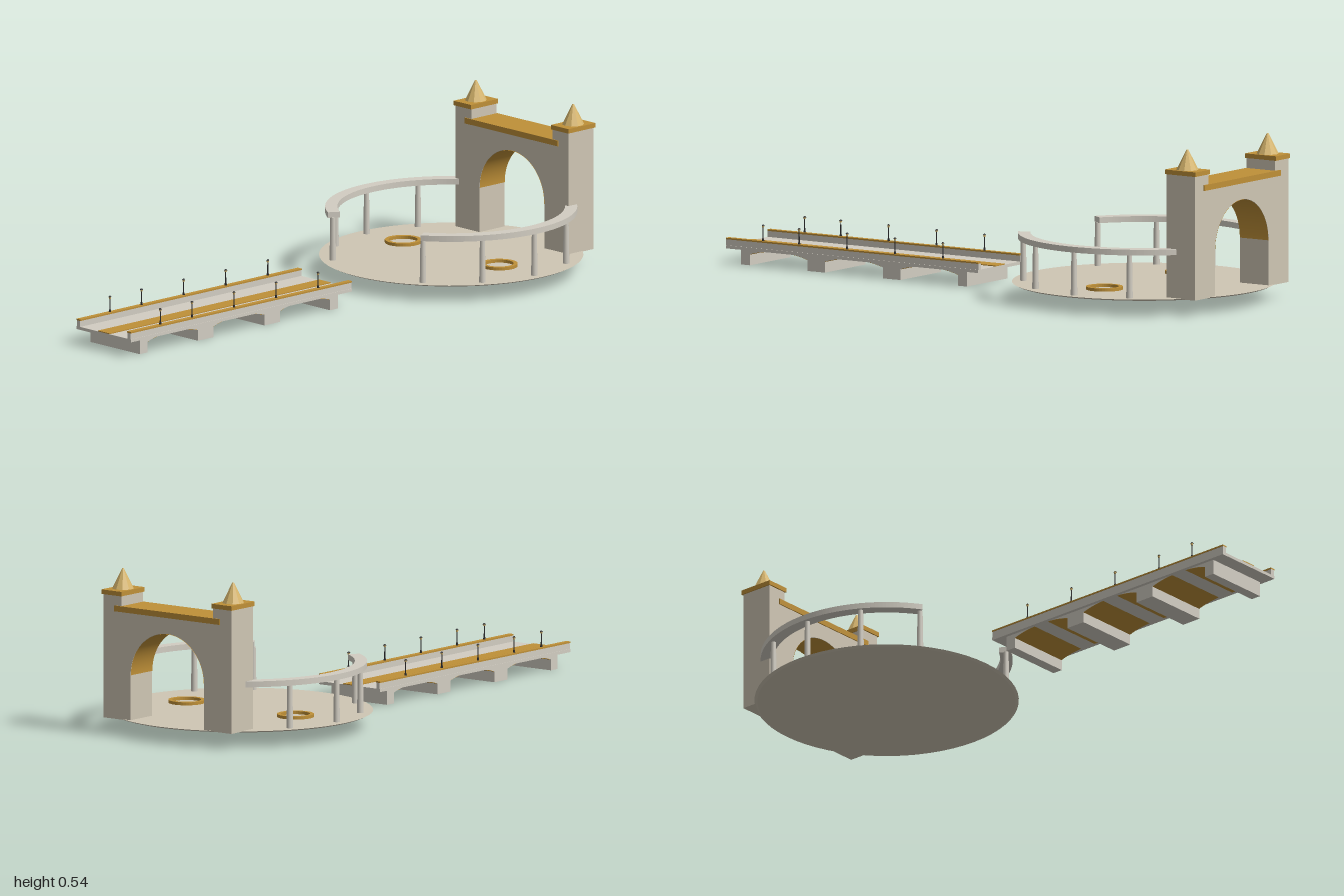
import * as THREE from 'three';

const mat = (name, color, extra = {}) => {
  const m = new THREE.MeshStandardMaterial({ color, ...extra });
  m.name = name;
  return m;
};

export function createModel() {
  const stone = mat('warm stone', 0xcfc6b4);
  const pale = mat('pale stone', 0xd2cdc2);
  const gold = mat('gold', 0xbf9038);
  gold.side = THREE.DoubleSide;
  const spire = mat('light gold', 0xd6b56c);
  spire.flatShading = true;
  const iron = mat('dark iron', 0x2b2b2d);

  const root = new THREE.Group();
  root.name = 'plazaAndBridge';
  const group = (name) => {
    const g = new THREE.Group();
    g.name = name;
    root.add(g);
    return g;
  };
  const add = (parent, name, geo, material, x = 0, y = 0, z = 0) => {
    const m = new THREE.Mesh(geo, material);
    m.name = name;
    m.position.set(x, y, z);
    parent.add(m);
    return m;
  };
  // box given by its lower and upper corners
  const block = (parent, name, material, x0, x1, y0, y1, z0, z1) =>
    add(parent, name, new THREE.BoxGeometry(x1 - x0, y1 - y0, z1 - z0), material,
      (x0 + x1) / 2, (y0 + y1) / 2, (z0 + z1) / 2);
  const extrude = (shape, depth, curveSegments = 32) =>
    new THREE.ExtrudeGeometry(shape, { depth, bevelEnabled: false, curveSegments });
  // profile drawn in (z, y), swept across x
  const acrossX = (shape, width) =>
    extrude(shape, width, 10).translate(0, 0, -width / 2).rotateY(-Math.PI / 2);
  const rad = THREE.MathUtils.degToRad;

  // ---- round plaza ----
  const CZ = -0.57, FLOOR = 0.055;
  const plaza = group('plaza');
  add(plaza, 'plazaFloor', new THREE.CylinderGeometry(0.43, 0.42, 0.005, 64), stone, 0, FLOOR - 0.0025, CZ);

  for (const s of [-1, 1]) {
    // fountain ring
    const ring = new THREE.Shape().absarc(0, 0, 0.06, 0, Math.PI * 2);
    ring.holes.push(new THREE.Path().absarc(0, 0, 0.047, 0, Math.PI * 2, true));
    add(plaza, 'basinRing', extrude(ring, 0.011, 20).rotateX(-Math.PI / 2), gold, s * 0.225, 0.054, CZ);

    // curved colonnade beam
    const a0 = s > 0 ? rad(-58) : rad(130), a1 = s > 0 ? rad(50) : rad(238);
    const arc = new THREE.Shape();
    arc.absarc(0, 0, 0.41, a0, a1, false);
    arc.absarc(0, 0, 0.37, a1, a0, true);
    add(plaza, 'colonnadeBeam', extrude(arc, 0.019).rotateX(-Math.PI / 2), pale, 0, 0.197, CZ);

    // columns under the beam
    for (const deg of [57.5, 29, 0.5, -28]) {
      const a = rad(deg);
      add(plaza, 'column', new THREE.CylinderGeometry(0.0085, 0.011, 0.145, 12), pale,
        s * 0.393 * Math.cos(a), 0.1255, CZ + 0.393 * Math.sin(a));
    }
  }

  // ---- gate ----
  const gate = group('gate');
  const GZ = -0.901, D = 0.113, R = 0.152, SPRING = 0.203, BASE = 0.053;
  const face = new THREE.Shape();
  face.moveTo(0.265, BASE);
  face.lineTo(0.265, 0.46);
  face.lineTo(0.19, 0.46);
  face.lineTo(0.19, 0.41);
  face.lineTo(-0.19, 0.41);
  face.lineTo(-0.19, 0.46);
  face.lineTo(-0.265, 0.46);
  face.lineTo(-0.265, BASE);
  face.lineTo(-R, BASE);
  face.lineTo(-R, SPRING);
  face.absarc(0, SPRING, R, Math.PI, 0, true);
  face.lineTo(R, BASE);
  add(gate, 'gateWall', extrude(face, D), stone, 0, 0, GZ - D / 2);
  // gold lining of the arch
  add(gate, 'archLining',
    new THREE.CylinderGeometry(R - 0.001, R - 0.001, D, 32, 1, true, Math.PI / 2, Math.PI).rotateX(Math.PI / 2),
    gold, 0, SPRING, GZ);
  block(gate, 'cornice', gold, -0.218, 0.218, 0.408, 0.427, GZ - 0.06, GZ + 0.06);
  for (const s of [-1, 1]) {
    const x = s * 0.228;
    block(gate, 'towerCap', gold, x - 0.041, x + 0.041, 0.46, 0.475, GZ - 0.061, GZ + 0.061);
    add(gate, 'spire', new THREE.CylinderGeometry(0.003, 0.036, 0.066, 10), spire, x, 0.508, GZ);
  }

  // ---- bridge ----
  const bridge = group('bridge');
  block(bridge, 'deck', pale, -0.127, 0.127, 0.05, 0.06, 0, 1);
  block(bridge, 'deckStripe', gold, -0.027, 0.027, 0.06, 0.063, 0, 1);
  for (const s of [-1, 1]) {
    const x = s * 0.118;
    block(bridge, 'parapet', pale, x - 0.007, x + 0.007, 0.06, 0.08, 0, 1);
    block(bridge, 'parapetCap', gold, x - 0.009, x + 0.009, 0.08, 0.085, 0, 1);
    // lamps
    for (const z of [0.145, 0.335, 0.525, 0.715, 0.858]) {
      add(bridge, 'lampFoot', new THREE.CylinderGeometry(0.003, 0.004, 0.008, 8), iron, x, 0.089, z);
      add(bridge, 'lampPost', new THREE.CylinderGeometry(0.0016, 0.002, 0.044, 8), iron, x, 0.107, z);
      add(bridge, 'lampGlass', new THREE.CylinderGeometry(0.0045, 0.003, 0.006, 8), spire, x, 0.132, z);
      add(bridge, 'lampCap', new THREE.CylinderGeometry(0.002, 0.0055, 0.004, 8), iron, x, 0.137, z);
    }
  }

  // piers with curved haunches: [z, half width, sides that carry an arch]
  const W = 0.23, TOP = 0.051, LOW = 0.036, REACH = 0.085;
  for (const [z, h, sides] of [[0.07, 0.018, [1]], [0.35, 0.035, [-1, 1]], [0.65, 0.035, [-1, 1]], [0.93, 0.018, [-1]]]) {
    block(bridge, 'pier', pale, -W / 2, W / 2, 0, TOP, z - h, z + h);
    for (const s of sides) {
      const p = z + s * h, mid = p + s * 0.035, end = p + s * REACH;
      const haunch = new THREE.Shape();
      haunch.moveTo(p, TOP);
      haunch.lineTo(p, LOW);
      haunch.quadraticCurveTo(mid, 0.048, end, TOP);
      add(bridge, 'haunch', acrossX(haunch, W), pale);
      // gold soffit just under the haunch
      const t = 0.001;
      const soffit = new THREE.Shape();
      soffit.moveTo(p, LOW);
      soffit.quadraticCurveTo(mid, 0.048, end, TOP);
      soffit.lineTo(end, TOP - t);
      soffit.quadraticCurveTo(mid, 0.048 - t, p, LOW - t);
      add(bridge, 'archSoffit', acrossX(soffit, W - 0.002), gold);
    }
  }
  return root;
}
